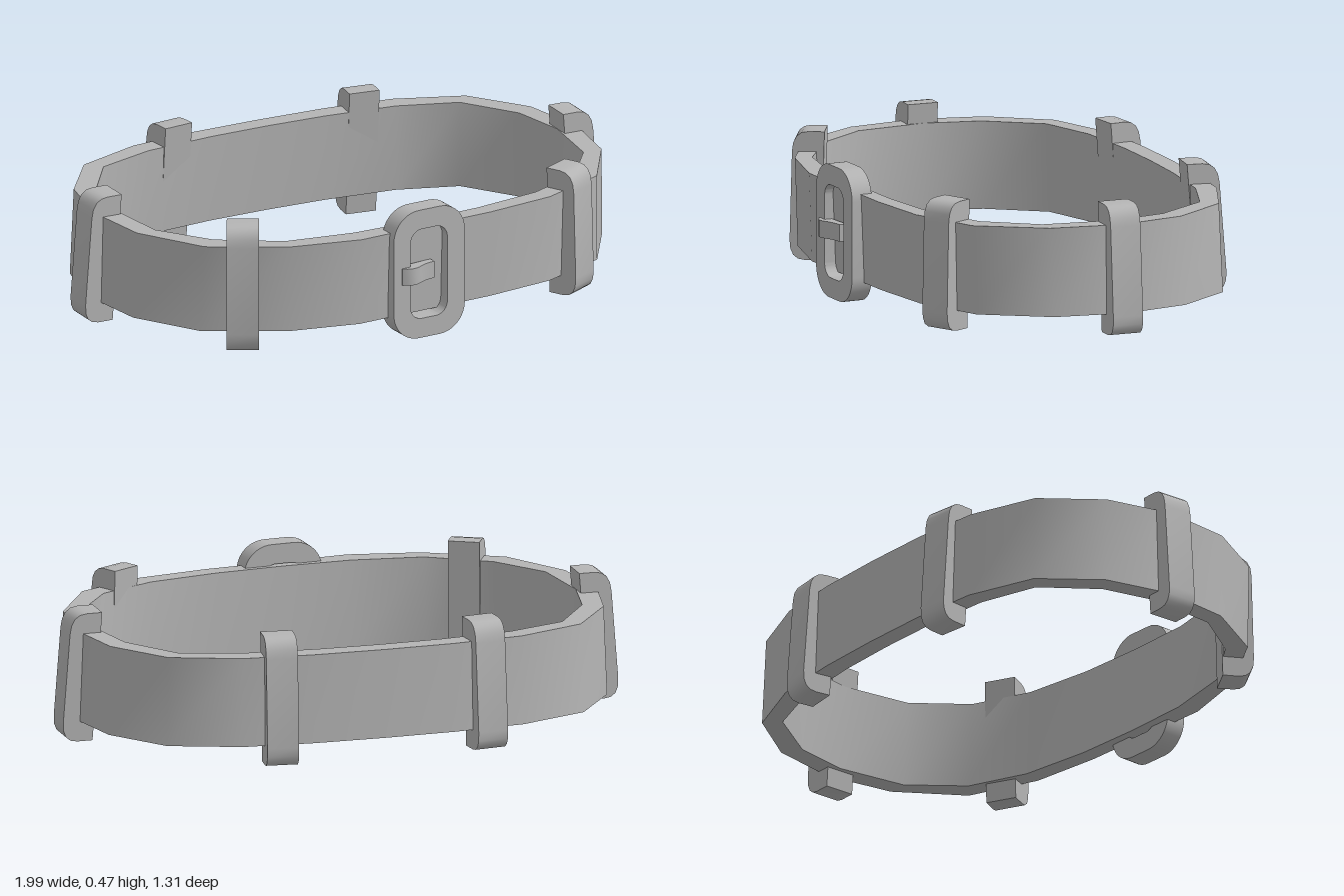
import * as THREE from 'three';
import { toCreasedNormals } from 'three/addons/utils/BufferGeometryUtils.js';

// Strap outline seen from above: [outer x, outer z, inner x, inner z]
const OUTLINE = [
  [0, 0.6, 0, 0.54], [0.27, 0.58, 0.25, 0.52], [0.52, 0.54, 0.5, 0.475],
  [0.76, 0.43, 0.7, 0.38], [0.9, 0.2, 0.83, 0.2], [0.935, -0.05, 0.86, -0.05],
  [0.885, -0.29, 0.82, -0.25], [0.74, -0.49, 0.69, -0.44], [0.5, -0.58, 0.48, -0.51],
  [0.25, -0.605, 0.22, -0.535], [0, -0.61, 0, -0.54], [-0.25, -0.605, -0.22, -0.535],
  [-0.5, -0.58, -0.48, -0.51], [-0.74, -0.49, -0.69, -0.44], [-0.885, -0.29, -0.82, -0.25],
  [-0.935, -0.05, -0.86, -0.05], [-0.9, 0.2, -0.83, 0.2], [-0.76, 0.43, -0.7, 0.38],
  [-0.5, 0.57, -0.49, 0.51], [-0.25, 0.62, -0.24, 0.545],
];

// Closed strap, slightly wider and further back at its lower edge
function strapGeometry() {
  const pos = [], idx = [], n = OUTLINE.length;
  const low = (x, z) => [x * 1.01, 0.08, z - 0.012];
  for (const [ox, oz, ix, iz] of OUTLINE)
    pos.push(...low(ox, oz), ox, 0.39, oz, ix, 0.39, iz, ...low(ix, iz));
  for (let i = 0; i < n; i++) for (let k = 0; k < 4; k++) {
    const j = (i + 1) % n, m = (k + 1) % 4;
    const a = i * 4 + k, b = j * 4 + k, c = j * 4 + m, d = i * 4 + m;
    idx.push(a, b, c, a, c, d);
  }
  const g = new THREE.BufferGeometry();
  g.setAttribute('position', new THREE.Float32BufferAttribute(pos, 3));
  g.setIndex(idx);
  return toCreasedNormals(g, 0.8);
}

// Belt loop: side profile with rounded outer corners, leaning outward at the foot
function loopGeometry(lean, width = 0.11) {
  const y0 = 0.01, y1 = 0.46, d = 0.11, r = 0.055;
  const s = new THREE.Shape();
  s.moveTo(0, y0);
  s.lineTo(d - r, y0);
  s.quadraticCurveTo(d, y0, d, y0 + r + 0.015);
  s.lineTo(d, y1 - r - 0.015);
  s.quadraticCurveTo(d, y1, d - r, y1);
  s.lineTo(0, y1);
  s.closePath();
  const g = new THREE.ExtrudeGeometry(s, { depth: width, bevelEnabled: false, curveSegments: 4 });
  g.translate(0, 0, -width / 2);
  const p = g.attributes.position;
  for (let i = 0; i < p.count; i++)
    p.setX(i, p.getX(i) + lean * (0.235 - p.getY(i)) / 0.45);
  return toCreasedNormals(g, 0.6);
}

function roundRect(path, x0, y0, x1, y1, r) {
  path.moveTo(x0 + r, y0);
  path.lineTo(x1 - r, y0);
  path.absarc(x1 - r, y0 + r, r, -Math.PI / 2, 0);
  path.lineTo(x1, y1 - r);
  path.absarc(x1 - r, y1 - r, r, 0, Math.PI / 2);
  path.lineTo(x0 + r, y1);
  path.absarc(x0 + r, y1 - r, r, Math.PI / 2, Math.PI);
  path.lineTo(x0, y0 + r);
  path.absarc(x0 + r, y0 + r, r, Math.PI, Math.PI * 1.5);
  return path;
}

export function createModel() {
  const model = new THREE.Group();
  model.name = 'belt';
  const grey = new THREE.MeshStandardMaterial({ color: 0xb4b4b4 });
  grey.name = 'grey';
  const add = (name, geometry, parent = model) => {
    const mesh = new THREE.Mesh(geometry, grey);
    mesh.name = name;
    parent.add(mesh);
    return mesh;
  };

  add('strap', strapGeometry());

  // Loops: name, inner face centre x and z, outward direction x and z, lean
  const loops = [
    ['leftLoop', 0.873, -0.05, 1, 0, 0.035],
    ['rightLoop', -0.873, -0.05, -1, 0, 0.035],
    ['frontLeftLoop', 0.607, 0.428, 0.47, 0.88, 0.012],
    ['frontRightLoop', -0.605, 0.418, -0.47, 0.88, 0.012],
    ['backLeftLoop', 0.362, -0.53, 0.12, -0.99, 0.035],
    ['backRightLoop', -0.362, -0.53, -0.12, -0.99, 0.035],
  ];
  for (const [name, x, z, nx, nz, lean] of loops) {
    const loop = add(name, loopGeometry(lean));
    loop.position.set(x, 0, z);
    loop.rotation.y = Math.atan2(-nz, nx);
  }

  // Buckle frame with an open centre, turned slightly to follow the strap
  const buckle = new THREE.Group();
  buckle.name = 'buckle';
  buckle.position.z = 0.557;
  buckle.rotation.y = 0.06;
  model.add(buckle);
  const frame = roundRect(new THREE.Shape(), -0.142, 0, 0.142, 0.465, 0.1);
  frame.holes.push(roundRect(new THREE.Path(), -0.075, 0.07, 0.072, 0.395, 0.045));
  add('buckleFrame', toCreasedNormals(new THREE.ExtrudeGeometry(frame,
    { depth: 0.075, bevelEnabled: false, curveSegments: 6 }), 0.6), buckle);

  // Prong: curved bar hooked over the frame and dipping into the opening
  const side = new THREE.Shape();
  side.moveTo(-0.11, 0.05);
  side.lineTo(0.025, 0.04);
  side.lineTo(0.025, 0.066);
  side.quadraticCurveTo(-0.02, 0.07, -0.045, 0.088);
  side.quadraticCurveTo(-0.08, 0.106, -0.11, 0.078);
  side.closePath();
  const prong = new THREE.ExtrudeGeometry(side, { depth: 0.06, bevelEnabled: false, curveSegments: 4 });
  prong.rotateX(Math.PI / 2);
  // The turn sends shape y to +z and depth to -y
  prong.translate(0, 0.265, 0);
  add('buckleProng', toCreasedNormals(prong, 0.6), buckle);

  return model;
}
